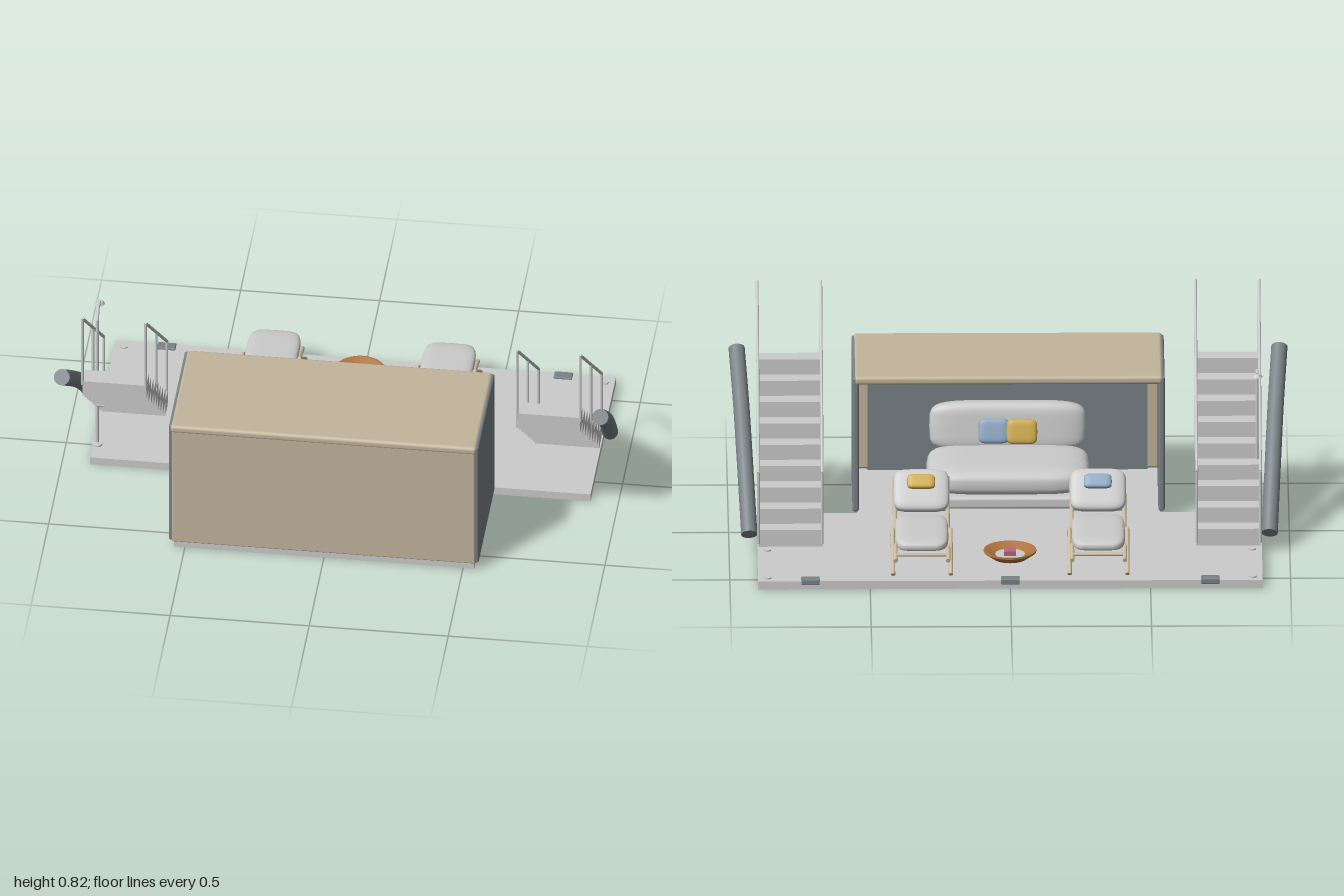
import * as THREE from 'three';
import { RoundedBoxGeometry } from 'three/addons/geometries/RoundedBoxGeometry.js';

const mat = (color, side = THREE.FrontSide) => new THREE.MeshStandardMaterial({ color, side });
const grey = mat(0xcccccc);
const tan = mat(0xc2b59c);
const slate = mat(0x7a8286);
const fabric = mat(0xd8d8d4);
const wood = mat(0xcdbd9f);
const copper = mat(0xb0743f, THREE.DoubleSide);
const blue = mat(0x8fa9c4);
const yellow = mat(0xd0ac4e);
const pink = mat(0xb5697a);
const V = (x, y, z) => new THREE.Vector3(x, y, z);

function add(parent, name, geometry, material, x = 0, y = 0, z = 0) {
  const mesh = new THREE.Mesh(geometry, material);
  mesh.name = name;
  mesh.position.set(x, y, z);
  parent.add(mesh);
  return mesh;
}

// Box given by its limits on each axis; r rounds its edges
function box(parent, name, material, [x0, x1], [y0, y1], [z0, z1], r = 0) {
  const s = [x1 - x0, y1 - y0, z1 - z0];
  const g = r ? new RoundedBoxGeometry(...s, 4, r) : new THREE.BoxGeometry(...s);
  return add(parent, name, g, material, (x0 + x1) / 2, (y0 + y1) / 2, (z0 + z1) / 2);
}

// Straight round bar between two points
function bar(parent, name, material, a, b, r) {
  const mesh = add(parent, name, new THREE.CylinderGeometry(r, r, a.distanceTo(b), 10), material);
  mesh.position.copy(a).lerp(b, 0.5);
  mesh.quaternion.setFromUnitVectors(V(0, 1, 0), b.clone().sub(a).normalize());
  return mesh;
}

// Soft cushion: a box whose faces bulge towards the middle
function cushion(parent, name, material, w, h, d, x, y, z, tilt = 0) {
  const g = new THREE.SphereGeometry(1, 32, 20);
  const p = g.attributes.position;
  const soft = (v, e) => Math.sign(v) * Math.pow(Math.abs(v), e);
  for (let i = 0; i < p.count; i++) {
    p.setXYZ(i, soft(p.getX(i), 0.4) * w / 2, soft(p.getY(i), 0.65) * h / 2, soft(p.getZ(i), 0.4) * d / 2);
  }
  g.computeVertexNormals();
  const mesh = add(parent, name, g, material, x, y, z);
  mesh.rotation.x = tilt;
  return mesh;
}

function deck(root) {
  const g = new THREE.Group();
  g.name = 'deck';
  box(g, 'rearDeck', grey, [-0.9, 0.9], [0, 0.03], [-0.6, 0.12]);
  box(g, 'cabinFloor', grey, [-0.54, 0.54], [0, 0.03], [0.12, 0.58]);
  for (const x of [-0.713, 0, 0.713]) {
    box(g, 'cleat', slate, [x - 0.033, x + 0.033], [0.015, 0.037], [-0.603, -0.565], 0.004);
  }
  for (const x of [-0.865, 0.865]) for (const z of [-0.565, -0.275]) {
    add(g, 'deckCap', new THREE.CylinderGeometry(0.014, 0.014, 0.005, 20), grey, x, 0.0325, z);
  }
  root.add(g);
}

function cabin(root) {
  const g = new THREE.Group();
  g.name = 'cabin';
  box(g, 'roof', tan, [-0.55, 0.55], [0.51, 0.541], [0.125, 0.6], 0.012);
  box(g, 'frontWall', tan, [-0.545, 0.545], [0.033, 0.53], [0.58, 0.598], 0.006);
  box(g, 'innerPanel', slate, [-0.5, 0.5], [0.03, 0.5], [0.57, 0.582]);
  for (const s of [-1, 1]) {
    const x = [0.534 * s, 0.557 * s].sort((a, b) => a - b);
    box(g, 'sideWall', slate, x, [0.03, 0.537], [0.128, 0.587], 0.008);
  }
  root.add(g);
}

function sofa(root) {
  const g = new THREE.Group();
  g.name = 'sofa';
  box(g, 'sofaBase', grey, [-0.29, 0.29], [0.03, 0.075], [0.15, 0.56], 0.012);
  cushion(g, 'sofaSeat', fabric, 0.58, 0.1, 0.36, 0, 0.115, 0.34);
  cushion(g, 'sofaBack', fabric, 0.56, 0.09, 0.18, 0, 0.22, 0.51, -Math.PI / 2 + 0.15);
  cushion(g, 'bluePillow', blue, 0.11, 0.035, 0.09, 0.05, 0.22, 0.45, -Math.PI / 2 + 0.3);
  cushion(g, 'yellowPillow', yellow, 0.11, 0.035, 0.09, -0.05, 0.22, 0.442, -Math.PI / 2 + 0.3);
  root.add(g);
}

// Nine-step stair with a railing on both sides, and a tube slide alongside
function stairs(root, s) {
  const g = new THREE.Group();
  g.name = s > 0 ? 'leftStairs' : 'rightStairs';
  const run = 0.0672, rise = 0.0567;
  for (let k = 0; k < 9; k++) {
    const z = -0.235 + k * run, y = 0.03 + k * rise;
    box(g, 'step', grey, [s * 0.78 - 0.115, s * 0.78 + 0.115], [y, y + rise + 0.006], [z, z + run + 0.003]);
  }
  for (const x of [0.668 * s, 0.895 * s]) {
    bar(g, 'handrail', grey, V(x, 0.82, 0.37), V(x, 0.31, -0.233), 0.0055);
    for (const [z, low, high] of [[0.37, 0.53, 0.82], [0.068, 0.28, 0.565], [-0.233, 0.04, 0.31]]) {
      bar(g, 'railPost', grey, V(x, low, z), V(x, high, z), 0.005);
    }
  }
  const path = new THREE.CatmullRomCurve3([
    V(0.968 * s, 0.562, 0.38), V(0.953 * s, 0.415, 0.18), V(0.942 * s, 0.272, 0), V(0.928 * s, 0.07, -0.215)]);
  add(g, 'slide', new THREE.TubeGeometry(path, 32, 0.029, 24), slate);
  for (const t of [0, 1]) {
    const cap = add(g, 'slideEnd', new THREE.CircleGeometry(0.029, 24), slate);
    cap.position.copy(path.getPoint(t));
    cap.lookAt(cap.position.clone().addScaledVector(path.getTangent(t), t ? 1 : -1));
  }
  root.add(g);
}

function shower(root) {
  const g = new THREE.Group();
  g.name = 'shower';
  const x = -0.885;
  const path = new THREE.CurvePath();
  const pts = [V(x, 0.03, 0.03), V(x, 0.57, 0.03), V(x, 0.606, 0.005), V(x, 0.606, -0.035)];
  for (let i = 0; i < 3; i++) {
    path.add(new THREE.LineCurve3(pts[i], pts[i + 1]));
    if (i) add(g, 'pipeJoint', new THREE.SphereGeometry(0.006, 12, 8), grey, pts[i].x, pts[i].y, pts[i].z);
    bar(g, 'showerPipe', grey, pts[i], pts[i + 1], 0.006);
  }
  add(g, 'showerHead', new THREE.CylinderGeometry(0.012, 0.019, 0.01, 20), grey, x, 0.602, -0.035);
  add(g, 'showerFoot', new THREE.CylinderGeometry(0.02, 0.02, 0.006, 20), grey, x, 0.033, 0.035);
  add(g, 'showerTap', new THREE.CylinderGeometry(0.008, 0.008, 0.03, 12), grey, x + 0.012, 0.2, 0.03).rotation.z = Math.PI / 2;
  root.add(g);
}

function lounger(root, x, pillow) {
  const g = new THREE.Group();
  g.name = 'lounger';
  cushion(g, 'seatCushion', fabric, 0.19, 0.045, 0.325, 0, 0.143, -0.405);
  cushion(g, 'backCushion', fabric, 0.2, 0.045, 0.16, 0, 0.232, -0.21, -0.85);
  cushion(g, 'pillow', pillow, 0.1, 0.03, 0.055, 0, 0.266, -0.211, -0.85);
  for (const s of [-1, 1]) {
    const rod = (y0, z0, y1, z1, i) =>
      bar(g, 'frameBar', wood, V(s * i, y0, z0), V(s * i, y1, z1), 0.008);
    rod(0.165, -0.235, 0.09, -0.555, 0.094);
    rod(0.07, -0.235, 0.155, -0.405, 0.103);
    rod(0.155, -0.4, 0.04, -0.56, 0.103);
    rod(0.27, -0.165, 0.16, -0.24, 0.094);
  }
  for (const [y, z] of [[0.1, -0.52], [0.152, -0.3], [0.17, -0.235]]) {
    bar(g, 'crossBar', wood, V(-0.094, y, z), V(0.094, y, z), 0.006);
  }
  g.position.x = x;
  root.add(g);
}

function fireBowl(root) {
  const g = new THREE.Group();
  g.name = 'fireBowl';
  const profile = [[0, 0.06], [0.06, 0.06], [0.094, 0.085], [0.094, 0.091], [0.088, 0.091], [0.052, 0.074]]
    .map(([r, y]) => new THREE.Vector2(r, y));
  // Split the profile into bands so that each rim edge stays sharp
  for (let i = 0; i < profile.length - 1; i++) {
    add(g, 'bowl', new THREE.LatheGeometry([profile[i], profile[i + 1]], 40), copper);
  }
  add(g, 'gravel', new THREE.CylinderGeometry(0.053, 0.053, 0.01, 32), grey, 0, 0.07, 0);
  add(g, 'burner', new THREE.BoxGeometry(0.042, 0.018, 0.055), pink, 0, 0.083, 0);
  g.position.z = -0.44;
  root.add(g);
}

export function createModel() {
  const root = new THREE.Group();
  root.name = 'floatingLounge';
  deck(root);
  cabin(root);
  sofa(root);
  for (const s of [-1, 1]) stairs(root, s);
  shower(root);
  lounger(root, -0.315, blue);
  lounger(root, 0.315, yellow);
  fireBowl(root);
  return root;
}
